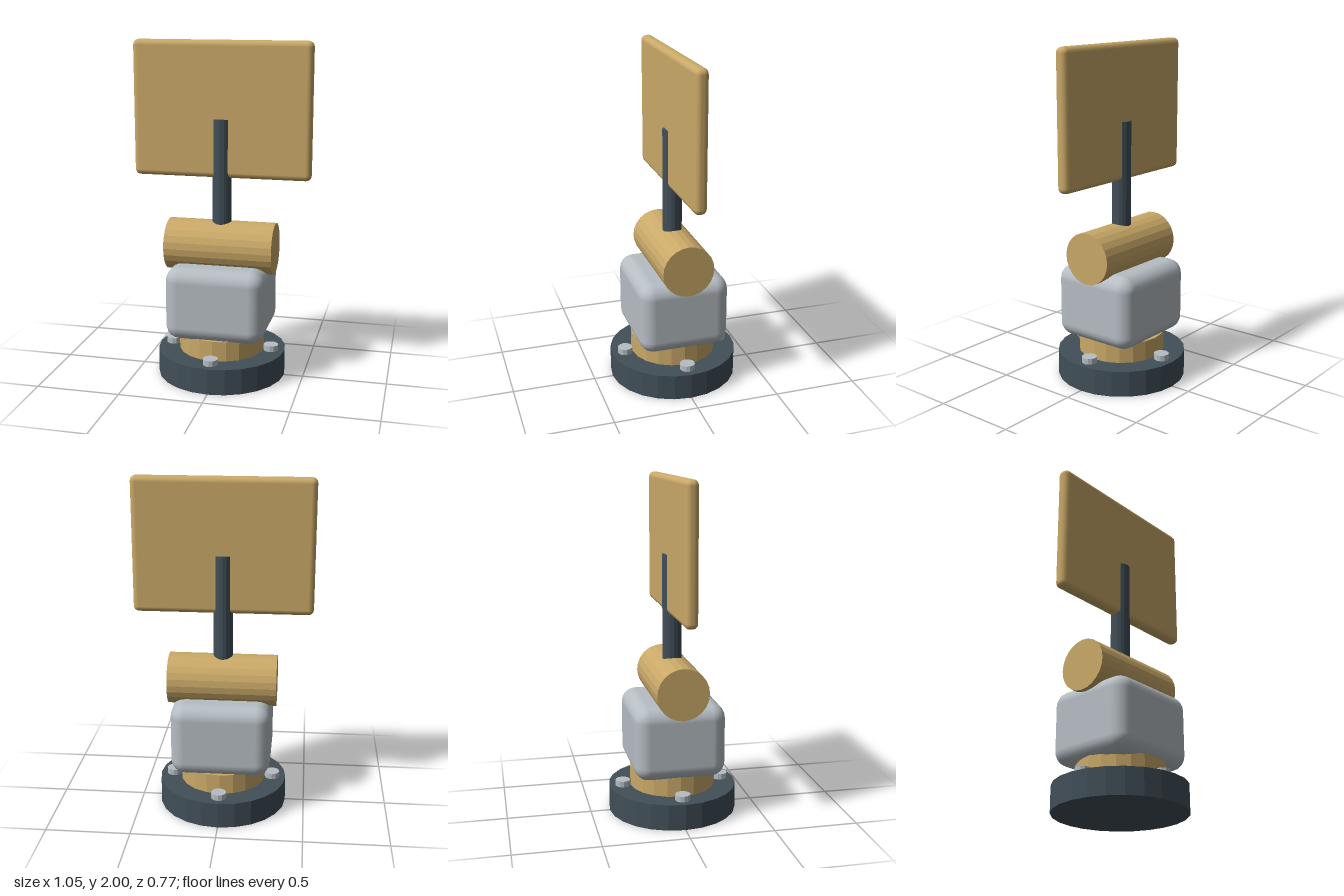
import * as THREE from 'three';
import { RoundedBoxGeometry } from 'three/addons/geometries/RoundedBoxGeometry.js';

const material = (name, color) => {
  const m = new THREE.MeshStandardMaterial({ color });
  m.name = name;
  return m;
};

// Faceted cylinder standing between two heights
function facetedCylinder(radius, bottom, top, sides) {
  const g = new THREE.CylinderGeometry(radius, radius, top - bottom, sides).toNonIndexed();
  g.computeVertexNormals();
  g.translate(0, (top + bottom) / 2, 0);
  return g;
}

export function createModel() {
  const model = new THREE.Group();
  model.name = 'panelOnPivot';

  const dark = material('dark slate', 0x414f58);
  const gold = material('brass', 0xcaa968);
  const grey = material('light grey', 0xb6bec4);

  const add = (name, geometry, mat) => {
    const mesh = new THREE.Mesh(geometry, mat);
    mesh.name = name;
    model.add(mesh);
    return mesh;
  };

  // Round foot and the collar above it
  add('base', facetedCylinder(0.385, 0, 0.155, 24), dark);
  add('collar', facetedCylinder(0.257, 0.155, 0.275, 20), gold);

  // Four bolts around the foot
  for (let i = 0; i < 4; i++) {
    const a = (i * Math.PI) / 2;
    const bolt = add('bolt', facetedCylinder(0.045, 0.15, 0.19, 12), grey);
    bolt.position.set(0.303 * Math.cos(a), 0, 0.303 * Math.sin(a));
  }

  // Rounded housing
  const housing = add('housing', new RoundedBoxGeometry(0.59, 0.44, 0.54, 3, 0.085), grey);
  housing.position.y = 0.48;

  // Horizontal pivot drum
  const drum = add('pivotDrum', facetedCylinder(0.153, -0.322, 0.322, 24), gold);
  drum.rotation.z = Math.PI / 2;
  drum.position.y = 0.79;

  // Mast running up through the panel
  add('mast', facetedCylinder(0.057, 0.8, 1.55, 16), dark);

  // Upright panel
  const panel = add('panel', new RoundedBoxGeometry(1.055, 0.795, 0.076, 2, 0.033), gold);
  panel.position.y = 1.6025;

  return model;
}
